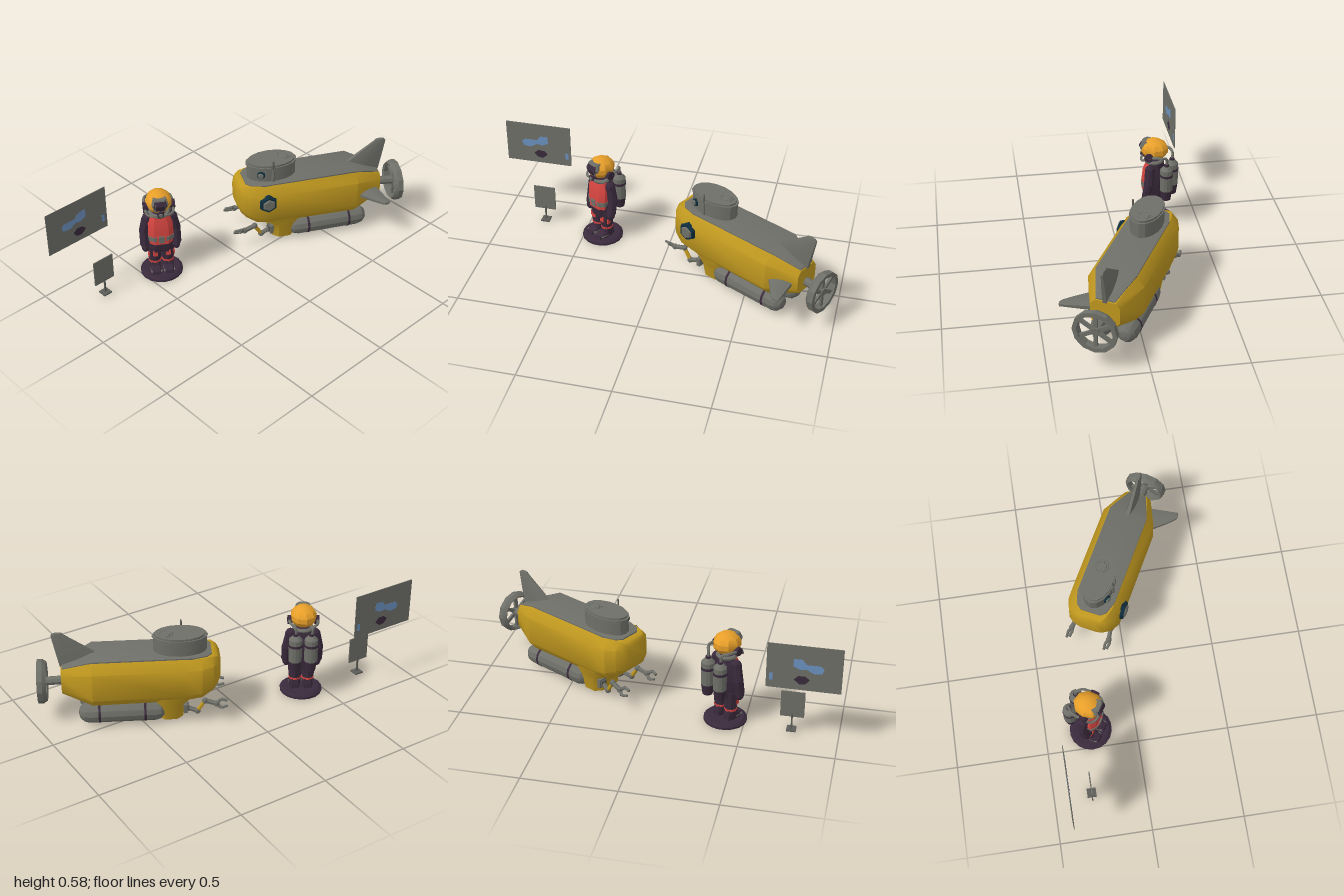
import * as THREE from 'three';
import { toCreasedNormals } from 'three/addons/utils/BufferGeometryUtils.js';

const paint = (name, color) => Object.assign(new THREE.MeshStandardMaterial({ color }), { name });
const M = {
  yellow: paint('hull yellow', 0xc0981f), gold: paint('helmet gold', 0xeaa12a),
  gray: paint('metal gray', 0x6e6f68), red: paint('suit red', 0xd64540),
  dark: paint('suit dark purple', 0x3a2a3c), teal: paint('porthole rim', 0x0f2d3c),
  blue: paint('map blue', 0x6b91bf), shade: paint('dark metal', 0x5c5d58),
};
const V = (x, y, z) => new THREE.Vector3(x, y, z);

function add(parent, name, geo, mat, x = 0, y = 0, z = 0, crease = 0.5) {
  const mesh = new THREE.Mesh(toCreasedNormals(geo, crease), mat);
  mesh.name = name;
  mesh.position.set(x, y, z);
  parent.add(mesh);
  return mesh;
}
function group(parent, name, x, z, turn) {
  const g = new THREE.Group();
  g.name = name;
  g.position.set(x, 0, z);
  g.rotation.y = turn;
  parent.add(g);
  return g;
}
const box = (x, y, z) => new THREE.BoxGeometry(x, y, z);
const cyl = (r1, r2, h, n = 10) => new THREE.CylinderGeometry(r1, r2, h, n);
const tube = (pts, r) => new THREE.TubeGeometry(new THREE.CatmullRomCurve3(pts), 14, r, 6);

// straight rod between two points
function rod(parent, name, a, b, r, mat, n = 6) {
  const mesh = add(parent, name, cyl(r, r, a.distanceTo(b), n), mat);
  mesh.position.copy(a).lerp(b, 0.5);
  mesh.quaternion.setFromUnitVectors(V(0, 1, 0), b.clone().sub(a).normalize());
}

// chamfered sections [z, halfWidth, bottom, top], ascending in z, joined into a solid
function loft(sections, cut = 0.25) {
  const rings = sections.map(([z, w, b, t]) => {
    const cx = w * cut * 1.4, cy = (t - b) * cut;
    return [[w, b + cy], [w, t - cy], [w - cx, t], [cx - w, t], [-w, t - cy], [-w, b + cy], [cx - w, b], [w - cx, b]]
      .map(([x, y]) => [x, y, z]);
  });
  const pos = [], n = 8, last = rings.length - 1;
  const tri = (...p) => p.forEach(q => pos.push(...q));
  for (let i = 0; i < last; i++) for (let j = 0; j < n; j++) {
    const k = (j + 1) % n, a = rings[i][j], b = rings[i][k], c = rings[i + 1][k], d = rings[i + 1][j];
    tri(a, b, c);
    tri(a, c, d);
  }
  for (let j = 1; j < n - 1; j++) {
    tri(rings[0][0], rings[0][j + 1], rings[0][j]);
    tri(rings[last][0], rings[last][j], rings[last][j + 1]);
  }
  const geo = new THREE.BufferGeometry();
  geo.setAttribute('position', new THREE.Float32BufferAttribute(pos, 3));
  return geo;
}
// the same, stacked upwards: [y, halfWidth, back, front]
const stack = (rows, cut) =>
  loft(rows.map(([y, w, back, front]) => [y, w, -front, -back]), cut).rotateX(-Math.PI / 2);

// thin upright plate from an outline in (z, y)
const sidePlate = (pts, t) => new THREE.ExtrudeGeometry(
  new THREE.Shape(pts.map(p => new THREE.Vector2(...p))), { depth: t, bevelEnabled: false })
  .translate(0, 0, -t / 2).rotateY(-Math.PI / 2);

function porthole(parent, r, x, y, z, turn) {
  const g = new THREE.Group();
  g.name = 'porthole';
  add(g, 'portholeRim', cyl(r * 0.85, r, 0.024, 6).rotateX(Math.PI / 2), M.teal);
  add(g, 'portholeGlass', cyl(r * 0.55, r * 0.73, 0.012, 6).rotateX(Math.PI / 2), M.gray, 0, 0, 0.014);
  g.position.set(x, y, z);
  g.rotation.y = turn;
  parent.add(g);
}

function submarine(root) {
  const s = group(root, 'submarine', 0, -0.453, -28 * Math.PI / 180);
  // hull and chin
  add(s, 'hull', loft([[-0.43, 0.077, 0.185, 0.325], [-0.27, 0.147, 0.132, 0.39], [0.2, 0.148, 0.14, 0.39],
    [0.3, 0.146, 0.155, 0.39], [0.36, 0.122, 0.19, 0.389], [0.385, 0.095, 0.215, 0.38], [0.4, 0.06, 0.245, 0.36]], 0.2),
    M.yellow, 0, 0, 0, 0.75);
  add(s, 'chin', stack([[0, 0.06, 0.09, 0.17], [0.015, 0.092, 0.07, 0.2], [0.1, 0.106, 0.055, 0.215],
    [0.15, 0.122, 0.02, 0.255], [0.22, 0.13, 0, 0.345]]), M.yellow, 0, 0, 0, 0.75);
  add(s, 'deck', loft([[-0.425, 0.05, 0.3, 0.333], [-0.27, 0.107, 0.37, 0.398], [0.26, 0.107, 0.37, 0.398],
    [0.33, 0.085, 0.37, 0.397], [0.355, 0.055, 0.37, 0.396]], 0.08), M.gray);

  // conning tower
  const oval = (name, k, h, y, mat) =>
    add(s, name, cyl(1, 1, h, 16).scale(0.083 * k, 1, 0.14 * k), mat, -0.005, y, 0.193);
  oval('tower', 1, 0.09, 0.437, M.gray);
  oval('towerRim', 1.04, 0.008, 0.48, M.gray);
  oval('towerTop', 0.96, 0.012, 0.489, M.gray);
  add(s, 'hatchRing', new THREE.TorusGeometry(0.038, 0.006, 5, 6).rotateX(Math.PI / 2), M.gray, -0.015, 0.493, 0.12);
  add(s, 'hatch', cyl(0.026, 0.032, 0.006, 6), M.gray, -0.015, 0.496, 0.12);
  add(s, 'antennaSocket', cyl(0.009, 0.009, 0.08, 8), M.gray, 0.077, 0.432, 0.203);
  add(s, 'antenna', cyl(0.005, 0.005, 0.07, 8), M.shade, 0.077, 0.489, 0.203);
  porthole(s, 0.026, 0.062, 0.44, 0.268, 1.15);
  porthole(s, 0.056, 0.153, 0.302, 0.25, Math.PI / 2);

  // fins
  add(s, 'tailFin', stack([[0.32, 0.02, -0.435, -0.235], [0.395, 0.019, -0.45, -0.25],
    [0.505, 0.01, -0.472, -0.405], [0.517, 0.008, -0.46, -0.415]], 0.33), M.gray);
  add(s, 'sideFin', stack([[0.08, 0.02, -0.4, -0.24], [0.2, 0.013, -0.422, -0.345], [0.24, 0.01, -0.43, -0.385],
    [0.247, 0.007, -0.42, -0.395]], 0.33).rotateZ(-Math.PI / 2), M.gray, 0, 0.245, 0);

  // propeller in its flared duct
  rod(s, 'shaft', V(0, 0.235, -0.4), V(0.008, 0.225, -0.55), 0.024, M.gray, 8);
  const duct = [[0.094, -0.02], [0.117, -0.02], [0.117, 0.008], [0.104, 0.028], [0.092, 0.02], [0.094, -0.02]];
  add(s, 'duct', new THREE.LatheGeometry(duct.map(p => new THREE.Vector2(...p)), 12).rotateX(Math.PI / 2), M.gray, 0.009, 0.225, -0.537);
  for (let i = 0; i < 6; i++)
    add(s, 'blade', box(0.085, 0.02, 0.014).translate(0.055, 0, 0).rotateZ((i + 0.5) * Math.PI / 3), M.gray, 0.009, 0.225, -0.537);

  for (const d of [-1, 1]) {
    // ballast tanks
    const x = d * 0.069;
    add(s, 'ballastTank', new THREE.CapsuleGeometry(0.058, 0.347, 3, 12).rotateX(Math.PI / 2), M.gray, x, 0.071, -0.119);
    for (const z of [0, -0.24])
      add(s, 'tankBand', cyl(0.06, 0.06, 0.012, 12).rotateX(Math.PI / 2), M.dark, x, 0.071, z);
    add(s, 'tankStrut', box(0.04, 0.05, 0.34), M.gray, x, 0.125, -0.11);

    // manipulator arms
    add(s, 'armMount', box(0.05, 0.05, 0.02), M.gray, d * 0.078, 0.082, 0.213);
    add(s, 'armMountInner', box(0.034, 0.034, 0.012), M.shade, d * 0.078, 0.082, 0.226);
    const j = [V(d * 0.078, 0.08, 0.22), V(d * 0.095, 0.065, 0.275), V(d * 0.1, 0.13, 0.315), V(d * 0.11, 0.115, 0.375)];
    rod(s, 'upperArm', j[0], j[1], 0.012, M.gray);
    rod(s, 'middleArm', j[1], j[2], 0.011, M.yellow);
    rod(s, 'foreArm', j[2], j[3], 0.013, M.gray);
    for (const p of j.slice(1)) add(s, 'armJoint', new THREE.SphereGeometry(0.017, 8, 6), M.gray, p.x, p.y, p.z);
    for (const k of [-1, 1]) {
      const knuckle = V(j[3].x + k * 0.014, 0.115 + k * 0.018, 0.4);
      rod(s, 'clawBase', j[3], knuckle, 0.009, M.gray);
      rod(s, 'clawTip', knuckle, V(j[3].x + k * 0.008, 0.115 + k * 0.011, 0.434), 0.008, M.gray);
    }
  }
}

function diver(root) {
  const g = group(root, 'diver', -0.249, 0.395, 58 * Math.PI / 180);
  add(g, 'standBase', cyl(0.116, 0.116, 0.012, 18), M.dark, 0, 0.006, 0);
  add(g, 'standTop', cyl(0.1, 0.112, 0.01, 18), M.dark, 0, 0.017, 0);
  // body, with the vest on the front only
  add(g, 'torso', stack([[0.15, 0.06, -0.045, 0.042], [0.22, 0.068, -0.05, 0.056], [0.33, 0.066, -0.05, 0.046],
    [0.385, 0.045, -0.035, 0.033]], 0.3), M.dark);
  add(g, 'vest', stack([[0.215, 0.062, -0.012, 0.06], [0.27, 0.068, -0.012, 0.06], [0.34, 0.066, -0.012, 0.053],
    [0.383, 0.05, -0.012, 0.04]], 0.3), M.red);
  add(g, 'belt', stack([[0.238, 0.067, -0.005, 0.063], [0.266, 0.069, -0.005, 0.063]], 0.3), M.gray);
  add(g, 'beltGap', box(0.05, 0.03, 0.006), M.red, 0, 0.252, 0.0615);
  add(g, 'beltBuckle', box(0.03, 0.04, 0.01), M.gray, 0, 0.25, 0.063);
  add(g, 'collar', new THREE.TorusGeometry(0.048, 0.011, 6, 12).rotateX(Math.PI / 2), M.gray, 0, 0.392, 0);

  // helmet, visor and regulator
  add(g, 'helmet', new THREE.SphereGeometry(0.07, 9, 7).scale(1.03, 0.88, 1.14), M.gold, 0, 0.463, -0.002);
  add(g, 'visorFrame', stack([[0.44, 0.034, 0.02, 0.068], [0.48, 0.044, 0.02, 0.081], [0.51, 0.034, 0.02, 0.066]]), M.gray);
  add(g, 'visorGlass', stack([[0.447, 0.026, 0.05, 0.0735], [0.48, 0.036, 0.05, 0.084], [0.503, 0.029, 0.05, 0.0725]]), M.dark);
  add(g, 'regulator', cyl(0.018, 0.022, 0.03, 8).rotateX(Math.PI / 2), M.dark, 0, 0.42, 0.06);
  add(g, 'regulatorCap', cyl(0.01, 0.012, 0.01, 8).rotateX(Math.PI / 2), M.gray, 0, 0.42, 0.077);

  for (const d of [-1, 1]) {
    // legs and boots
    const x = d * 0.035;
    add(g, 'leg', cyl(0.042, 0.033, 0.11, 8), M.dark, x, 0.135, 0);
    add(g, 'kneePatch', box(0.026, 0.035, 0.008), M.red, x, 0.14, 0.035);
    add(g, 'legPatch', box(0.008, 0.03, 0.02), M.red, x + d * 0.033, 0.13, 0.014);
    add(g, 'ankleBand', cyl(0.035, 0.035, 0.012, 8), M.red, x, 0.08, 0);
    add(g, 'boot', stack([[0.02, 0.029, -0.035, 0.075], [0.04, 0.029, -0.035, 0.07], [0.055, 0.028, -0.034, 0.035],
      [0.078, 0.027, -0.03, 0.028]]).translate(x, 0, 0), M.dark);
    add(g, 'bootStrap', box(0.06, 0.008, 0.045), M.gray, x, 0.034, 0.04);

    // arms
    rod(g, 'upperArm', V(d * 0.068, 0.355, -0.004), V(d * 0.086, 0.27, -0.006), 0.028, M.dark, 8);
    rod(g, 'foreArm', V(d * 0.086, 0.28, -0.006), V(d * 0.086, 0.19, 0.01), 0.026, M.dark, 8);
    add(g, 'shoulder', new THREE.SphereGeometry(0.03, 8, 6), M.dark, d * 0.066, 0.355, -0.004);
    add(g, 'hand', new THREE.SphereGeometry(0.026, 8, 6).scale(0.85, 1.2, 1), M.dark, d * 0.084, 0.178, 0.012);

    // earphones and hoses
    add(g, 'earphone', cyl(0.023, 0.025, 0.026, 10).rotateZ(Math.PI / 2), M.dark, d * 0.072, 0.438, 0);
    add(g, 'airHose', tube([V(d * 0.043, 0.4, -0.095), V(d * 0.046, 0.437, -0.094), V(d * 0.07, 0.446, -0.065),
      V(d * 0.078, 0.44, -0.005)], 0.008), M.gray);
    add(g, 'mouthHose', tube([V(d * 0.077, 0.43, 0.013), V(d * 0.068, 0.41, 0.043), V(d * 0.04, 0.41, 0.062),
      V(0, 0.418, 0.066)], 0.007), M.gray);

    // air cylinders
    const tx = d * 0.042 + 0.003, tz = -0.095;
    add(g, 'airTank', cyl(0.036, 0.036, 0.13, 12), M.gray, tx, 0.305, tz);
    add(g, 'airTankShoulder', cyl(0.016, 0.036, 0.022, 12), M.gray, tx, 0.381, tz);
    add(g, 'airTankBoot', cyl(0.036, 0.027, 0.06, 12), M.dark, tx, 0.21, tz);
    add(g, 'airTankBand', cyl(0.0375, 0.0375, 0.014, 12), M.dark, tx, 0.335, tz);
    add(g, 'valve', cyl(0.014, 0.014, 0.014, 8), M.dark, tx, 0.396, tz);
  }
  add(g, 'tankBracket', box(0.07, 0.06, 0.04), M.dark, 0, 0.31, -0.065);
}

function displays(root) {
  // hanging map board
  const m = group(root, 'mapBoard', -0.411, 0, 0);
  add(m, 'board', box(0.004, 0.252, 0.38), M.gray, 0, 0.454, 0.81);
  const land = [[0.755, 0.46], [0.755, 0.503], [0.8, 0.503], [0.82, 0.476], [0.89, 0.476], [0.91, 0.46],
    [0.9, 0.433], [0.86, 0.428], [0.82, 0.45], [0.79, 0.444]];
  const island = [[0.78, 0.407], [0.815, 0.41], [0.84, 0.39], [0.82, 0.365], [0.79, 0.36], [0.76, 0.385]];
  add(m, 'blueArea', sidePlate(land, 0.0052), M.blue);
  add(m, 'darkArea', sidePlate(island, 0.0052), M.dark);
  add(m, 'blueMark', box(0.0052, 0.04, 0.018), M.blue, 0, 0.39, 0.645);

  // small sign on a stand
  const s = group(root, 'sign', -0.295, 0.752, 0);
  add(s, 'signBoard', box(0.006, 0.15, 0.125), M.gray, 0, 0.165, 0);
  add(s, 'signPole', box(0.008, 0.1, 0.008), M.shade, 0, 0.06, 0);
  add(s, 'signFoot', box(0.05, 0.008, 0.05), M.shade, 0, 0.014, 0);
}

export function createModel() {
  const root = new THREE.Group();
  root.name = 'divingScene';
  submarine(root);
  diver(root);
  displays(root);
  return root;
}
